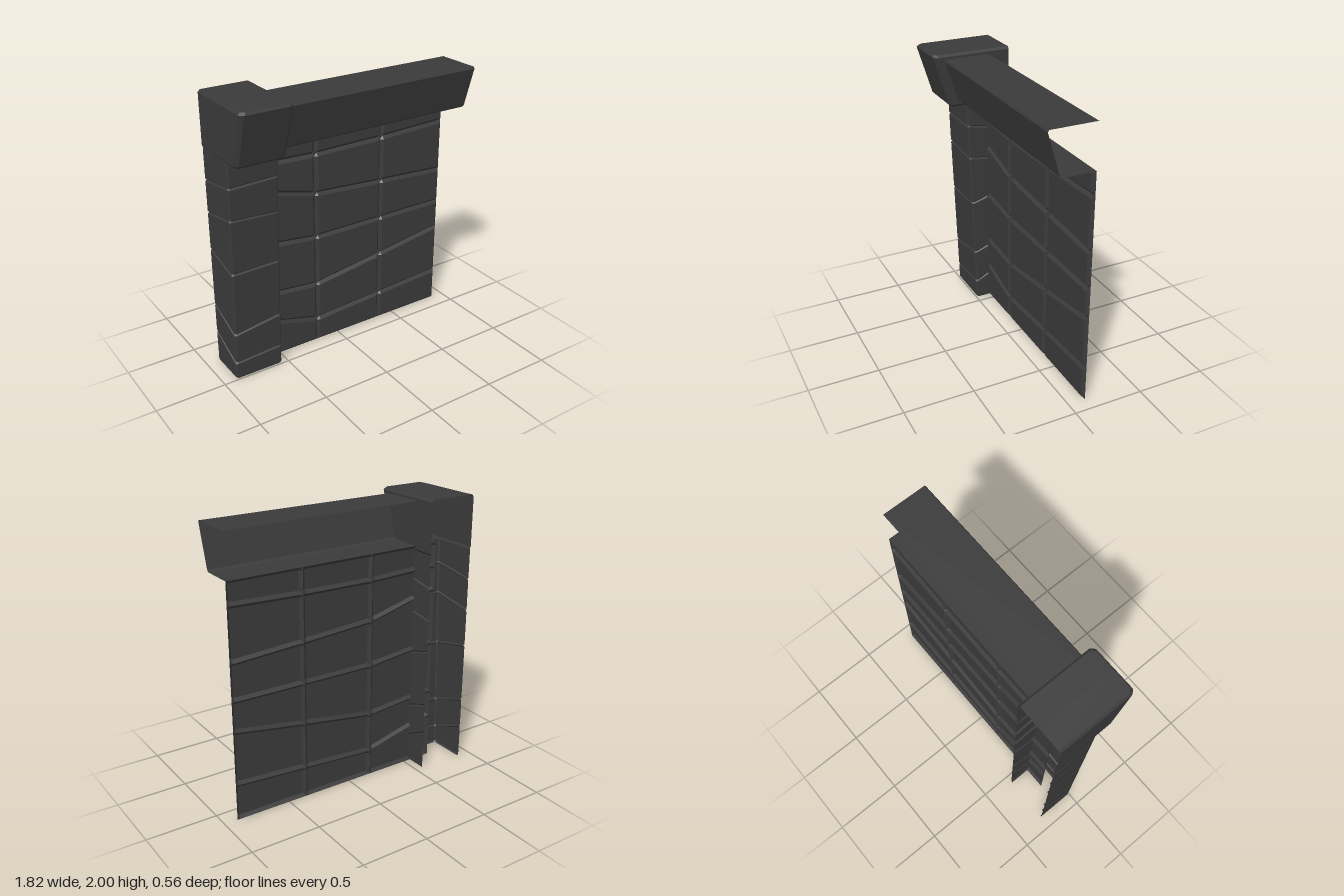
import * as THREE from 'three';

const stone = new THREE.MeshStandardMaterial({ color: 0x3a3a3a, side: THREE.DoubleSide });
stone.name = 'darkStone';

// Faceted sheet through rows of [x, y, z] points
function sheet(name, rows) {
  const pos = [];
  for (let r = 0; r < rows.length - 1; r++) {
    for (let c = 0; c < rows[r].length - 1; c++) {
      const a = rows[r][c], b = rows[r][c + 1], d = rows[r + 1][c + 1], e = rows[r + 1][c];
      pos.push(...a, ...b, ...d, ...a, ...d, ...e);
    }
  }
  const geo = new THREE.BufferGeometry();
  geo.setAttribute('position', new THREE.Float32BufferAttribute(pos, 3));
  geo.computeVertexNormals();
  const mesh = new THREE.Mesh(geo, stone);
  mesh.name = name;
  return mesh;
}

// Grid lines around joints: the joint itself is low, its two neighbours are raised
function jointLines(joints, bevel) {
  const last = joints.length - 1;
  return joints.flatMap((j, i) => {
    const out = [];
    if (i > 0) out.push({ at: j - bevel, low: false });
    out.push({ at: j, low: true });
    if (i < last) out.push({ at: j + bevel, low: false });
    return out;
  });
}

// Linear interpolation in a table of [x, y] knots
function lerpAt(xs, ys, x) {
  let i = 0;
  while (i < xs.length - 2 && x > xs[i + 1]) i++;
  return ys[i] + (ys[i + 1] - ys[i]) * (x - xs[i]) / (xs[i + 1] - xs[i]);
}

// Stone panel wall with bevelled joints
function wall() {
  const xs = [-0.725, -0.183, 0.362, 0.905];
  const courses = [
    [0, 0, 0, 0],
    [0.33, 0.19, 0.225, 0.26],
    [0.53, 0.48, 0.56, 0.645],
    [0.915, 0.855, 0.857, 0.86],
    [1.325, 1.185, 1.15, 1.12],
    [1.492, 1.473, 1.48, 1.5],
    [1.66, 1.66, 1.66, 1.66],
  ];
  const columns = jointLines(xs, 0.022).map(({ at, low }) => ({
    x: at, low, ys: jointLines(courses.map(c => lerpAt(xs, c, at)), 0.022),
  }));
  const rows = columns[0].ys.map((_, r) => columns.map(c =>
    [c.x, c.ys[r].at, c.low || c.ys[r].low ? -0.125 : -0.105]));
  return sheet('wallPanels', rows);
}

// U-shaped section, open at the back; heights run from back left to back right
function uRow(heights, xL, xR, front, chamfer, inset) {
  const l = xL + inset, r = xR - inset;
  const xs = [l, l, l + chamfer, r - chamfer, r, r];
  const zIn = [null, chamfer, 0, 0, chamfer, null];
  return heights.map((y, i) =>
    [xs[i], y, zIn[i] === null ? -0.28 : front(y) - inset - zIn[i]]);
}

const pillarFront = y => -0.005 + y * 0.034;
const capFront = y => 0.17 + (y - 1.62) * 0.303;
const level = y => Array(6).fill(y);
const pillarRow = (heights, inset) => uRow(heights, -0.905, -0.55, pillarFront, 0.01, inset);

// Tapered pillar with sloping grooves between its blocks
function pillar() {
  // back left, front left, front right, back right
  const grooves = [
    [0.25, 0.135, 0.155, 0.295],
    [0.47, 0.365, 0.415, 0.515],
    [0.9, 0.833, 0.84, 0.925],
    [1.17, 1.222, 1.205, 1.165],
    [1.4, 1.447, 1.457, 1.395],
  ];
  const rows = [pillarRow(level(0), 0.01), pillarRow(level(0.012), 0)];
  for (const [bl, fl, fr, br] of grooves) {
    const ys = [bl, fl, fl, fr, fr, br];
    for (const [dy, inset] of [[-0.01, 0], [0, 0.01], [0.01, 0]]) {
      rows.push(pillarRow(ys.map(y => y + dy), inset));
    }
  }
  rows.push(pillarRow(level(1.62), 0));
  return sheet('pillar', rows);
}

// Flared pillar cap with a bottom ledge and closed top
function cap() {
  const row = (y, inset) => uRow(level(y), -0.91, -0.55, capFront, 0.025, inset);
  const rim = row(2, 0.015);
  const rows = [pillarRow(level(1.62), 0), row(1.62, 0.01), row(1.635, 0), row(1.985, 0), rim];
  rows.push(rim.map(([, y, z]) => [-0.73, y, z]));
  return sheet('pillarCap', rows);
}

// Hollow coping beam along the top of the wall
function beam() {
  const profile = [[-0.125, 1.66], [0.105, 1.66], [0.118, 1.672], [0.203, 1.955], [0.195, 1.968], [-0.125, 1.968]];
  return sheet('copingBeam', profile.map(([z, y]) => [[-0.725, y, z], [0.905, y, z]]));
}

export function createModel() {
  const group = new THREE.Group();
  group.name = 'wallSection';
  group.add(wall(), pillar(), cap(), beam());
  return group;
}
